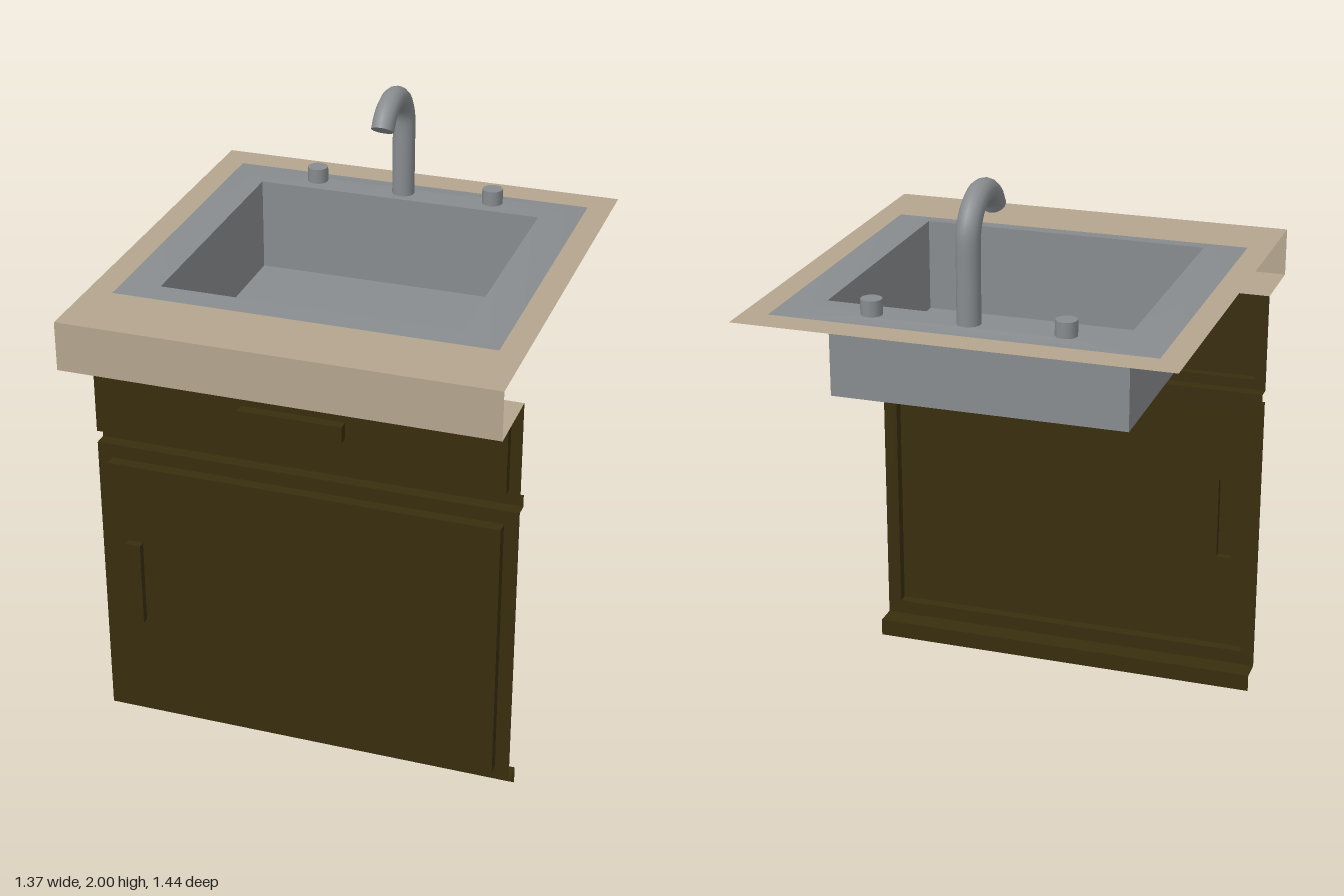
import * as THREE from 'three';

const mat = (name, color) => {
  const m = new THREE.MeshStandardMaterial({ color, side: THREE.DoubleSide });
  m.name = name;
  return m;
};

// Rectangle given as [x0, y0, x1, y1]
const trace = (path, [x0, y0, x1, y1]) => {
  path.moveTo(x0, y0);
  path.lineTo(x1, y0);
  path.lineTo(x1, y1);
  path.lineTo(x0, y1);
  path.closePath();
  return path;
};

// Flat sheet with rectangular holes and optional round holes [x, y, r]
function sheet(rect, holes = [], rounds = []) {
  const s = trace(new THREE.Shape(), rect);
  holes.forEach((h) => s.holes.push(trace(new THREE.Path(), h)));
  rounds.forEach(([x, y, r]) => {
    const p = new THREE.Path();
    p.absarc(x, y, r, 0, Math.PI * 2, true);
    s.holes.push(p);
  });
  return new THREE.ShapeGeometry(s, 8);
}

// Four walls around a rectangle, open at both ends, running from z0 to z1
function walls([x0, y0, x1, y1], z0, z1) {
  const g = new THREE.CylinderGeometry(Math.SQRT1_2, Math.SQRT1_2, 1, 4, 1, true)
    .rotateY(Math.PI / 4).rotateX(Math.PI / 2)
    .scale(x1 - x0, y1 - y0, z1 - z0)
    .translate((x0 + x1) / 2, (y0 + y1) / 2, (z0 + z1) / 2).toNonIndexed();
  g.computeVertexNormals();
  return g;
}

export function createModel() {
  const root = new THREE.Group();
  const wood = mat('darkWood', 0x382d0e);
  const stone = mat('tanCounter', 0xb4a58d);
  const steel = mat('steel', 0x888c8f);

  const add = (parent, name, geo, m) => {
    const mesh = new THREE.Mesh(geo, m);
    mesh.name = name;
    parent.add(mesh);
    return mesh;
  };
  const group = (name) => {
    const g = new THREE.Group();
    g.name = name;
    root.add(g);
    return g;
  };

  const W = 0.685, FACE = 0.476, TOP = 1.585, UNDER = 1.427;
  const upright = (y0, y1, z, holes) => sheet([-W, y0, W, y1], holes).translate(0, 0, z);
  const level = (y, z0, z1) => sheet([-W, -z1, W, -z0]).rotateX(-Math.PI / 2).translate(0, y, 0);

  // Cabinet front: raised hollow panels, each with a raised hollow handle
  const cabinet = group('cabinet');
  const panels = [
    { name: 'drawer', frame: [1.095, UNDER], rect: [-0.649, 1.13, 0.649, 1.388], z: 0.508,
      grip: [-0.185, 1.232, 0.148, 1.286], gripZ: 0.542 },
    { name: 'door', frame: [0.06, 1.055], rect: [-0.638, 0.11, 0.638, 1.008], z: 0.513,
      grip: [-0.58, 0.445, -0.53, 0.735], gripZ: 0.538 },
  ];
  for (const p of panels) {
    add(cabinet, p.name + 'Frame', upright(p.frame[0], p.frame[1], FACE, [p.rect]), wood);
    add(cabinet, p.name + 'Edge', walls(p.rect, FACE, p.z), wood);
    add(cabinet, p.name + 'Panel', sheet(p.rect, [p.grip]).translate(0, 0, p.z), wood);
    add(cabinet, p.name + 'HandleEdge', walls(p.grip, p.z, p.gripZ), wood);
    add(cabinet, p.name + 'Handle', sheet(p.grip).translate(0, 0, p.gripZ), wood);
  }

  // Groove between drawer and door, and recessed toe kick
  const GROOVE = 0.435, KICK = 0.4;
  add(cabinet, 'grooveBack', upright(1.055, 1.095, GROOVE), wood);
  add(cabinet, 'grooveTop', level(1.095, GROOVE, FACE), wood);
  add(cabinet, 'grooveBottom', level(1.055, GROOVE, FACE), wood);
  add(cabinet, 'toeKickLedge', level(0.06, KICK, FACE), wood);
  add(cabinet, 'toeKick', upright(0, 0.06, KICK), wood);

  // Countertop: top sheet with sink cutout, front apron, return to the cabinet
  const counter = group('countertop');
  const lip = [-0.605, -0.477, 0.605, 0.62];
  add(counter, 'counterTop',
    sheet([-W, -0.717, W, 0.72], [lip]).rotateX(-Math.PI / 2).translate(0, TOP, 0), stone);
  add(counter, 'counterApron', upright(UNDER, TOP, 0.717), stone);
  add(counter, 'counterReturn', level(UNDER, FACE, 0.717), stone);

  // Sink: rim rising slightly inward, open basin
  const sink = group('sink');
  const bowl = [-0.476, -0.405, 0.476, 0.468];
  const RIM = 1.594, FLOOR = 1.285, TAP_Z = -0.53, KNOB_Z = -0.54;
  const rim = sheet(lip, [bowl],
    [[0, -TAP_Z, 0.037], [-0.303, -KNOB_Z, 0.034], [0.303, -KNOB_Z, 0.034]]);
  const pos = rim.attributes.position;
  for (let i = 0; i < pos.count; i++) {
    const x = pos.getX(i), y = pos.getY(i);
    const outer = Math.abs(x) > 0.6 || y > 0.615 || y < -0.47;
    pos.setZ(i, outer ? TOP : RIM);
  }
  rim.rotateX(-Math.PI / 2);
  rim.computeVertexNormals();
  add(sink, 'sinkRim', rim, steel);
  add(sink, 'basinWalls', walls(bowl, FLOOR, RIM).rotateX(-Math.PI / 2), steel);
  add(sink, 'basinFloor', sheet(bowl).rotateX(-Math.PI / 2).translate(0, FLOOR, 0), steel);

  // Faucet: upright stem bending into a hooked spout
  const faucet = group('faucet');
  const R = 0.122, cy = 1.84, cz = TAP_Z + R;
  const points = [1.588, 1.67, 1.76].map((y) => new THREE.Vector3(0, y, TAP_Z));
  for (let i = 0; i <= 10; i++) {
    const a = Math.PI * (1 - (i / 10) * 0.85);
    points.push(new THREE.Vector3(0, cy + R * Math.sin(a), cz + R * Math.cos(a)));
  }
  const path = new THREE.CatmullRomCurve3(points);
  add(faucet, 'spout', new THREE.TubeGeometry(path, 40, 0.037, 14), steel);
  const tip = add(faucet, 'spoutEnd', new THREE.CircleGeometry(0.037, 14), steel);
  tip.position.copy(path.getPoint(1));
  tip.lookAt(path.getPoint(1).add(path.getTangent(1)));

  // Tap knobs, open underneath
  for (const side of [-1, 1]) {
    const name = side > 0 ? 'leftKnob' : 'rightKnob';
    const body = new THREE.CylinderGeometry(0.034, 0.034, 0.054, 10, 1, true);
    add(faucet, name, body, steel).position.set(side * 0.303, 1.616, KNOB_Z);
    const cap = new THREE.CircleGeometry(0.034, 10).rotateX(-Math.PI / 2).rotateY(Math.PI / 2);
    add(faucet, name + 'Cap', cap, steel).position.set(side * 0.303, 1.643, KNOB_Z);
  }
  return root;
}
